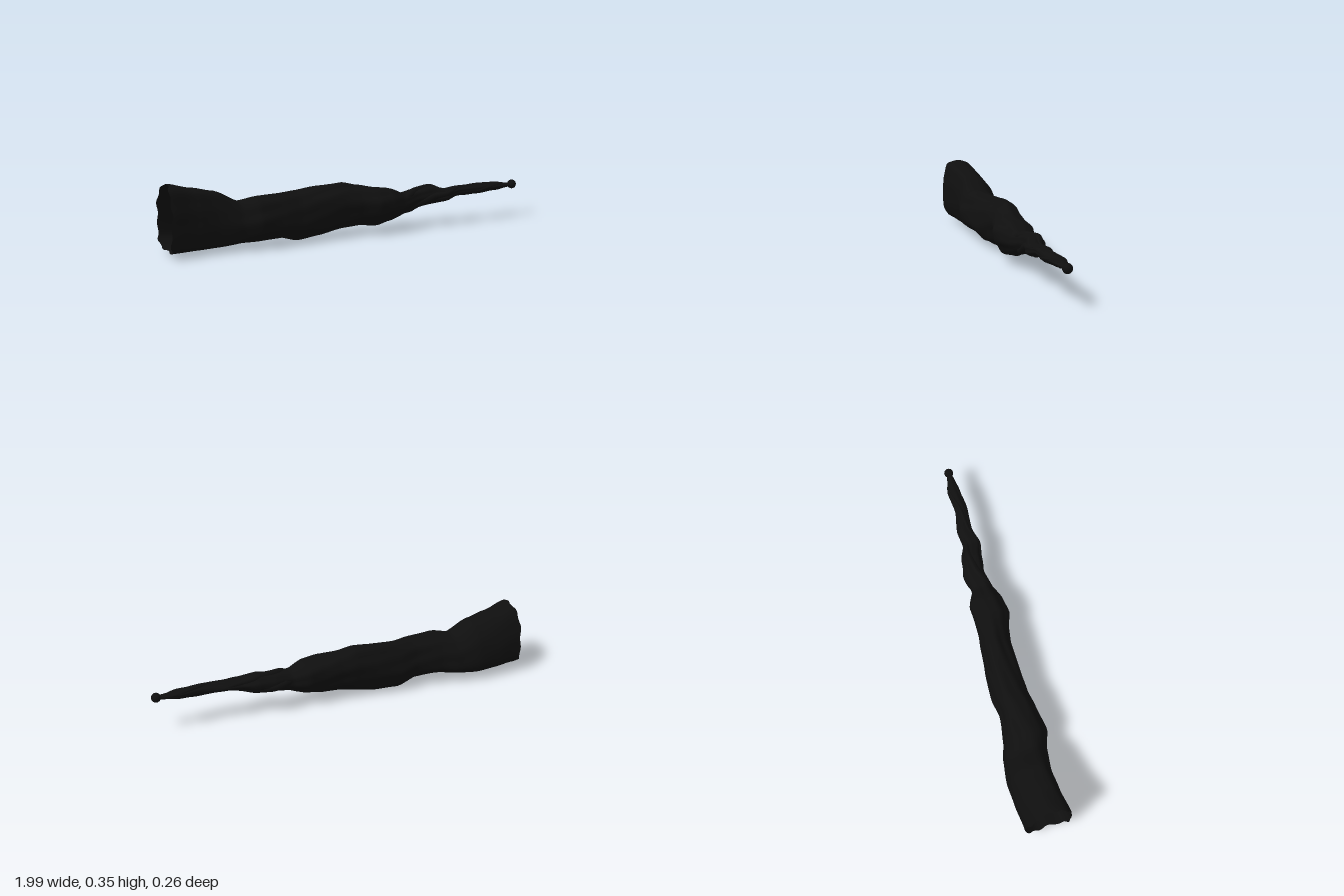
import * as THREE from 'three';

// Envelope stations along x: [x, top, bottom, back z, front z]
const STATIONS = [
  [-0.98, 0.355, 0.025, -0.108, 0.122], [-0.85, 0.32, 0.025, -0.125, 0.1],
  [-0.74, 0.295, 0.025, -0.132, 0.09], [-0.62, 0.235, 0.03, -0.12, 0.1],
  [-0.53, 0.25, 0.03, -0.1, 0.125], [-0.4, 0.25, 0.025, -0.085, 0.105],
  [-0.3, 0.25, 0.0, -0.1, 0.088], [-0.18, 0.262, 0.012, -0.1, 0.078],
  [-0.05, 0.272, 0.035, -0.09, 0.067], [0.03, 0.255, 0.045, -0.08, 0.077],
  [0.12, 0.24, 0.04, -0.08, 0.105], [0.2, 0.23, 0.055, -0.085, 0.095],
  [0.28, 0.2, 0.075, -0.055, 0.07], [0.38, 0.21, 0.1, -0.072, 0.047],
  [0.46, 0.22, 0.11, -0.065, 0.05], [0.54, 0.198, 0.125, -0.035, 0.068],
  [0.62, 0.2, 0.148, -0.045, 0.045], [0.74, 0.203, 0.146, -0.026, 0.048],
  [0.86, 0.202, 0.153, -0.04, 0.035], [0.93, 0.19, 0.162, -0.022, 0.022],
  [0.97, 0.186, 0.168, -0.012, 0.012],
];

// Section of the flared end in (z, y), one point per 30 degrees:
// broad and square below, leaning and narrower above
const FLARE = new THREE.CatmullRomCurve3([
  [1, 0], [0.88, 0.5], [0.68, 0.9], [0.2, 1], [-0.38, 0.86], [-0.78, 0.42],
  [-1, -0.15], [-1.02, -0.7], [-0.6, -0.95], [0, -1], [0.72, -0.96], [0.95, -0.6],
].map(([z, y]) => new THREE.Vector3(0, y, z)), true);

// Smoothly blended envelope at any x
function envelope(x) {
  let i = 0;
  while (i < STATIONS.length - 2 && x > STATIONS[i + 1][0]) i++;
  const a = STATIONS[i], b = STATIONS[i + 1];
  const u = THREE.MathUtils.clamp((x - a[0]) / (b[0] - a[0]), 0, 1);
  const s = 0.5 * u + 0.5 * u * u * (3 - 2 * u);
  const [, top, bottom, back, front] = a.map((v, k) => v + (b[k] - v) * s);
  return { cy: (top + bottom) / 2, ry: (top - bottom) / 2, cz: (back + front) / 2, rz: (front - back) / 2 };
}

// Point on the gnarled surface, t = angle around x
function surfacePoint(x, t, scale) {
  const e = envelope(x);
  const flare = 1 - THREE.MathUtils.smoothstep(x, -0.74, -0.45);
  const turn = t / (Math.PI * 2);
  const unit = new THREE.Vector3(0, Math.sin(t), Math.cos(t)).lerp(FLARE.getPoint(turn - Math.floor(turn)), flare);
  // twisted ridges with softer folds between them
  const ridge = (0.035 * Math.sin(3 * t - 5 * x + 0.8) + 0.025 * Math.sin(5 * t + 8 * x)
    + 0.018 * Math.sin(9 * t - 13 * x)) * (1 - 0.6 * flare);
  const k = scale * (0.995 + ridge);
  return new THREE.Vector3(x, Math.max(0, e.cy + e.ry * k * unit.y), e.cz + e.rz * k * unit.z);
}

// Lofted skin with an uneven open rim at the flared end
function loft(x0, x1, rings, sides, scaleAt) {
  const pos = [], index = [];
  for (let i = 0; i <= rings; i++) {
    const x = x0 + (x1 - x0) * i / rings;
    const fade = Math.max(0, 1 - i / 6);
    for (let j = 0; j < sides; j++) {
      const t = j / sides * Math.PI * 2;
      const p = surfacePoint(x, t, scaleAt(x));
      p.x += fade * (0.005 * Math.sin(4 * t + 1) + 0.004 * Math.sin(11 * t)
        + 0.008 * Math.sin(t) ** 2 + 0.003 * Math.cos(t) - 0.004);
      pos.push(p.x, p.y, p.z);
      if (i < rings) {
        const a = i * sides + j, b = i * sides + (j + 1) % sides;
        index.push(a, a + sides, b, b, a + sides, b + sides);
      }
    }
  }
  const g = new THREE.BufferGeometry();
  g.setAttribute('position', new THREE.Float32BufferAttribute(pos, 3));
  g.setIndex(index);
  g.computeVertexNormals();
  return g;
}

// Tapered strand winding along the thin end, its ends thinned into the body
function strand(x0, x1, t0, turns) {
  const pts = [];
  for (let i = 0; i <= 32; i++) {
    const u = i / 32;
    pts.push(surfacePoint(x0 + (x1 - x0) * u, t0 + turns * u * Math.PI * 2, 0.66));
  }
  const curve = new THREE.CatmullRomCurve3(pts);
  const n = 96, sides = 12;
  const g = new THREE.TubeGeometry(curve, n, 1, sides, false);
  const p = g.attributes.position, v = new THREE.Vector3();
  for (let i = 0; i <= n; i++) {
    const u = i / n, c = curve.getPointAt(u);
    const r = Math.min(1, u * 8, (1 - u) * 8 + 0.2) * 0.4 * envelope(c.x).ry;
    for (let j = 0; j <= sides; j++) {
      const k = i * (sides + 1) + j;
      v.fromBufferAttribute(p, k).sub(c).multiplyScalar(r).add(c);
      p.setXYZ(k, v.x, v.y, v.z);
    }
  }
  g.computeVertexNormals();
  return g;
}

export function createModel() {
  const group = new THREE.Group();
  const bark = new THREE.MeshStandardMaterial({ color: 0x0f0f0f, side: THREE.DoubleSide });
  const add = (name, geometry) => {
    const mesh = new THREE.Mesh(geometry, bark);
    mesh.name = name;
    group.add(mesh);
    return mesh;
  };

  // Main body, drawn in slightly where strands wrap the thin end
  const slim = x => 1 - 0.1 * THREE.MathUtils.smoothstep(x, 0.25, 0.3);
  add('twistedBody', loft(-0.985, 0.97, 220, 84, slim));

  // Strands braided around the thin end
  for (let i = 0; i < 3; i++) {
    add('tipStrand' + (i + 1), strand(0.24, 0.96, i * Math.PI * 2 / 3 + 0.4, 0.8));
  }

  // Rounded knob at the tip
  add('tipKnob', new THREE.SphereGeometry(0.024, 24, 16)).position.set(0.973, 0.177, 0);
  return group;
}
